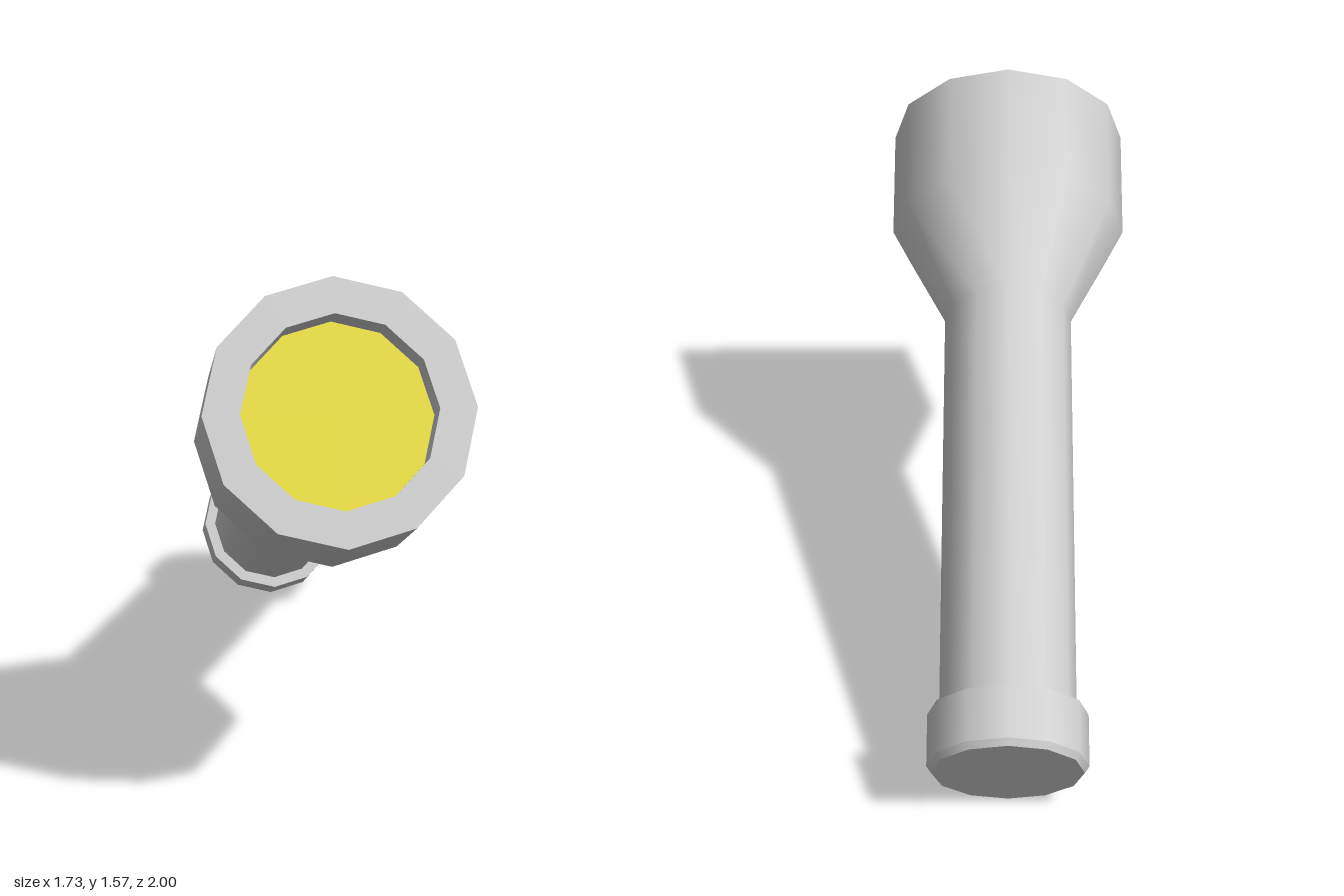
import * as THREE from 'three';

const SIDES = 12;
const LENGTH = 2.23;   // axis position of the front rim
const TAIL = new THREE.Vector3(-0.671, 0.214, -0.83);
const FRONT = new THREE.Vector3(0.555, 1.24, 0.725);

const grey = new THREE.MeshStandardMaterial({ color: 0xcccccc });
const yellow = new THREE.MeshStandardMaterial({ color: 0xe6da10 });

// One smooth run of the turned profile: [radius, position along the axis]
function turned(name, profile, material = grey) {
  const points = profile.map(([r, t]) => new THREE.Vector2(r, t));
  const geometry = new THREE.LatheGeometry(points, SIDES);
  geometry.rotateX(Math.PI / 2); // axis along +z
  const mesh = new THREE.Mesh(geometry, material);
  mesh.name = name;
  return mesh;
}

function group(name, ...children) {
  const g = new THREE.Group();
  g.name = name;
  g.add(...children);
  return g;
}

export function createModel() {
  // Tail cap: flat end, small bevel, wall and the step down to the handle
  const tailCap = group('tailCap',
    turned('tailCapEnd', [[0, -0.02], [0.224, -0.02]]),
    turned('tailCapBevel', [[0.224, -0.02], [0.238, 0]]),
    turned('tailCapWall', [[0.238, 0], [0.238, 0.16]]),
    turned('tailCapStep', [[0.238, 0.16], [0.203, 0.16]]));

  // Handle flaring smoothly into the lamp head
  const body = turned('handleAndHead',
    [[0.203, 0.16], [0.203, 1.51], [0.378, 1.85], [0.38, LENGTH]]);

  // Front rim, recess and lens
  const lamp = group('lamp',
    turned('rim', [[0.38, LENGTH], [0.275, LENGTH]]),
    turned('recessWall', [[0.275, LENGTH], [0.275, LENGTH - 0.1]]),
    turned('lens', [[0.275, LENGTH - 0.1], [0, LENGTH - 0.1]], yellow));

  // Tilt the whole torch from tail to front
  const torch = group('flashlight', tailCap, body, lamp);
  torch.position.copy(TAIL);
  torch.lookAt(FRONT);

  return group('model', torch);
}
